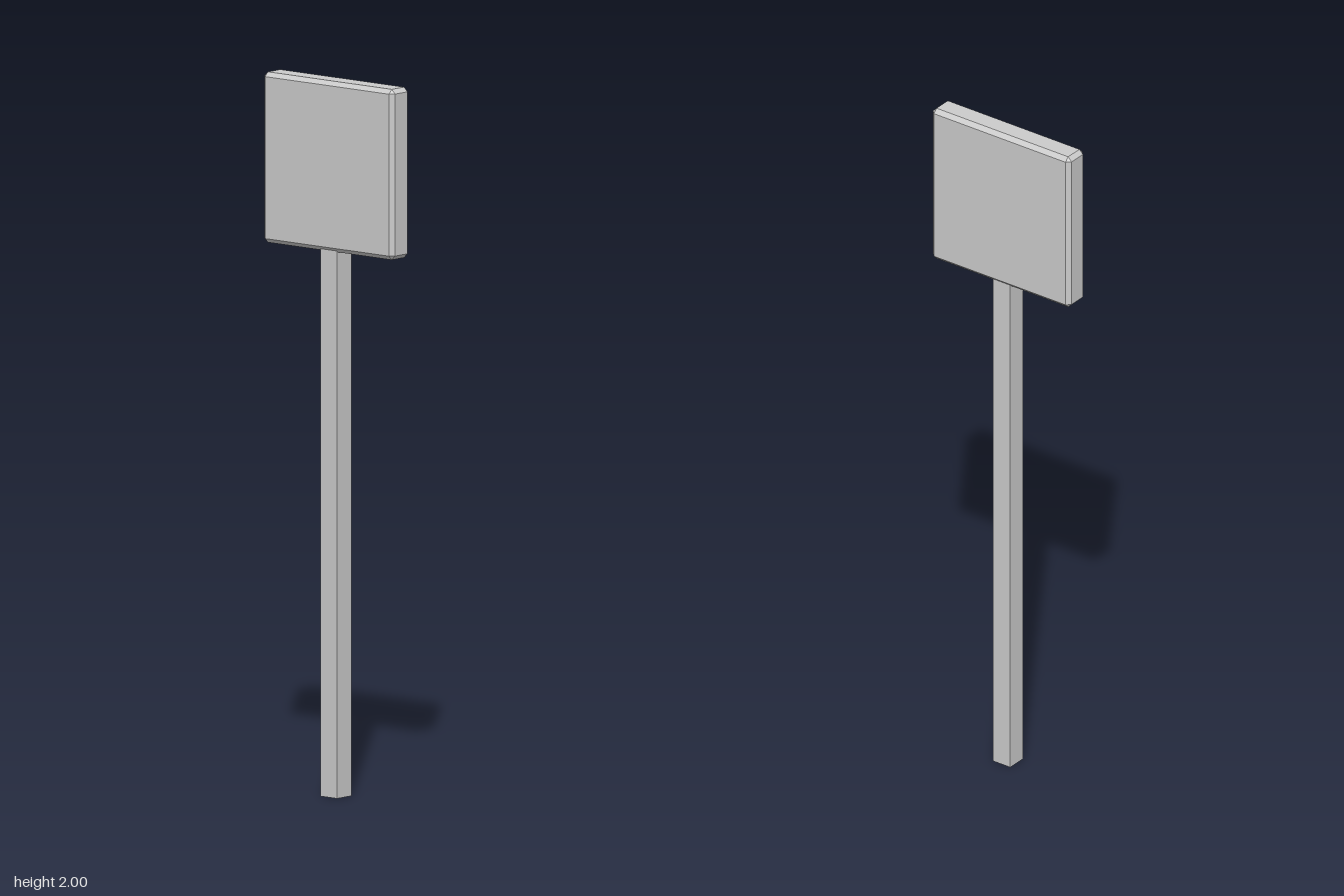
import * as THREE from 'three';
import { ConvexGeometry } from 'three/addons/geometries/ConvexGeometry.js';

// Box with every edge and corner cut at 45 degrees
function chamferedBox(width, height, depth, cut) {
  const half = [width / 2, height / 2, depth / 2];
  const points = [];
  for (const sx of [-1, 1]) for (const sy of [-1, 1]) for (const sz of [-1, 1]) {
    for (let axis = 0; axis < 3; axis++) {
      const p = [sx, sy, sz].map((s, i) => s * (half[i] - (i === axis ? 0 : cut)));
      points.push(new THREE.Vector3(...p));
    }
  }
  return new ConvexGeometry(points);
}

export function createModel() {
  const group = new THREE.Group();
  group.name = 'signpost';
  const material = new THREE.MeshStandardMaterial({ color: 0xcccccc, flatShading: true });

  // Square post
  const postHeight = 1.53;
  const post = new THREE.Mesh(new THREE.BoxGeometry(0.06, postHeight, 0.06), material);
  post.name = 'post';
  post.position.y = postHeight / 2;
  group.add(post);

  // Square sign board on top of the post
  const size = 0.476;
  const board = new THREE.Mesh(chamferedBox(size, size, 0.076, 0.012), material);
  board.name = 'signBoard';
  board.position.y = 2 - size / 2;
  group.add(board);

  return group;
}
